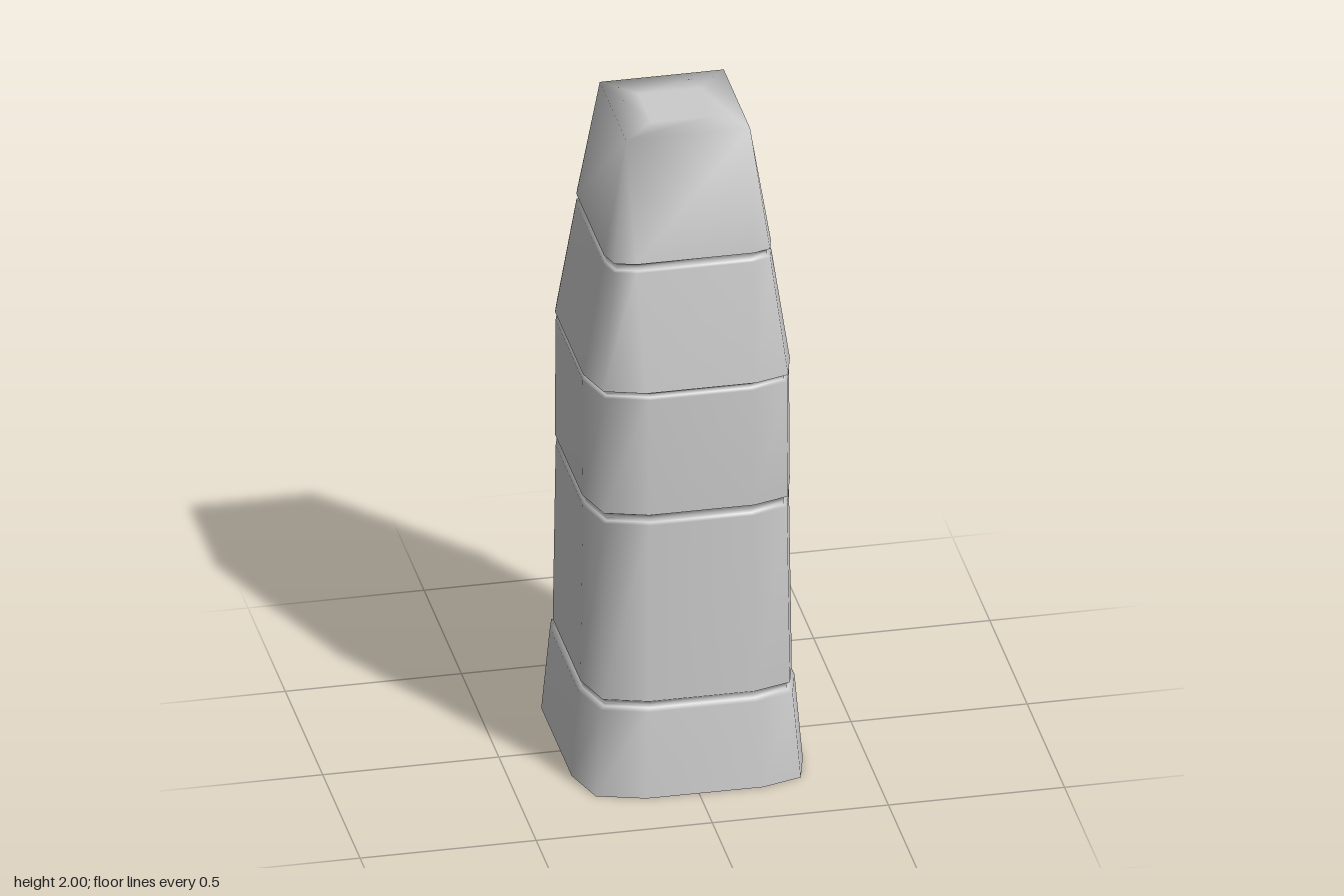
import * as THREE from 'three';
import { mergeVertices } from 'three/addons/utils/BufferGeometryUtils.js';

// Irregular bevelled square (x, z), three points per corner, half width 1
const SECTION = [
  [-1, -0.79], [-0.955, -0.945], [-0.8, -0.985],
  [0.44, -1], [0.85, -0.885], [0.985, -0.47],
  [1, 0.55], [0.91, 0.895], [0.56, 1],
  [-0.46, 0.995], [-0.875, 0.865], [-1, 0.46],
];

// ring: [y, half width, sharpness]; sharpness 1 pulls each bevel to a square corner
function sectionRing([y, half, sharp]) {
  return SECTION.map(([x, z]) => [
    half * THREE.MathUtils.lerp(x, Math.sign(x), sharp),
    y,
    half * THREE.MathUtils.lerp(z, Math.sign(z), sharp),
  ]);
}

// Smooth shell lofted through the rings from bottom to top
function loft(name, rings, material) {
  const n = SECTION.length;
  const index = [];
  for (let r = 0; r < rings.length - 1; r++) {
    for (let i = 0; i < n; i++) {
      const a = r * n + i;
      const b = r * n + (i + 1) % n;
      index.push(a, a + n, b, b, a + n, b + n);
    }
  }
  let geometry = new THREE.BufferGeometry();
  const points = rings.flatMap(sectionRing).flat();
  geometry.setAttribute('position', new THREE.Float32BufferAttribute(points, 3));
  geometry.setIndex(index);
  geometry = mergeVertices(geometry, 1e-5);
  geometry.computeVertexNormals();
  const mesh = new THREE.Mesh(geometry, material);
  mesh.name = name;
  return mesh;
}

export function createModel() {
  const group = new THREE.Group();
  group.name = 'tower';
  const material = new THREE.MeshStandardMaterial({ color: 0xcccccc, side: THREE.DoubleSide });

  // Each block carries half of the recessed neck below and above it
  const blocks = {
    // open-bottomed flared base
    base: [[0, 0.325, 0], [0.26, 0.304, 0], [0.266, 0.29, 0], [0.275, 0.289, 0]],
    tallBlock: [
      [0.275, 0.289, 0], [0.284, 0.288, 0], [0.29, 0.297, 0],
      [0.84, 0.29, 0], [0.845, 0.28, 0], [0.856, 0.28, 0],
    ],
    middleBlock: [
      [0.856, 0.28, 0], [0.868, 0.28, 0], [0.874, 0.292, 0],
      [1.235, 0.29, 0], [1.239, 0.28, 0], [1.247, 0.28, 0],
    ],
    taperedBlock: [
      [1.247, 0.28, 0], [1.253, 0.28, 0], [1.258, 0.291, 0.05],
      [1.61, 0.237, 0.4], [1.613, 0.228, 0.4], [1.624, 0.227, 0.4],
    ],
    // top block closes with a flat square cap
    topBlock: [
      [1.624, 0.227, 0.4], [1.634, 0.227, 0.4], [1.638, 0.236, 0.4],
      [2, 0.176, 1], [2, 0.085, 1], [2, 0, 1],
    ],
  };
  for (const [name, rings] of Object.entries(blocks)) group.add(loft(name, rings, material));

  return group;
}
